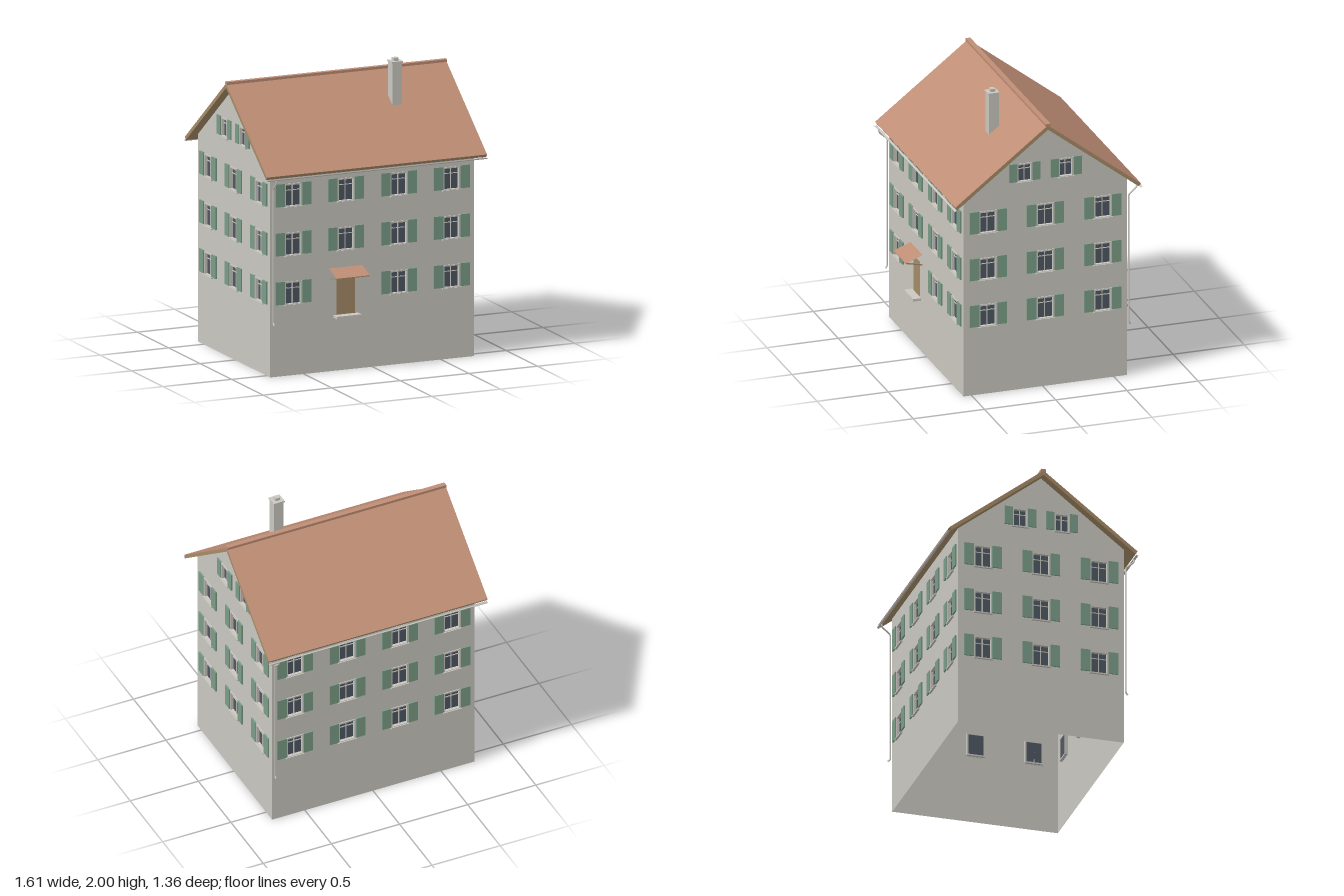
import * as THREE from 'three';

const mat = (name, color, extra = {}) => {
  const m = new THREE.MeshStandardMaterial({ color, ...extra });
  m.name = name;
  return m;
};

export function createModel() {
  const both = { side: THREE.DoubleSide };
  const plaster = mat('plaster', 0xcac7c0, both);
  const tile = mat('roofTile', 0xbf8d75, both);
  const wood = mat('wood', 0xa48b67);
  const green = mat('shutterGreen', 0x7a9d87);
  const glass = mat('glass', 0x4e5761, both);

  const CX = -0.002, CZ = -0.017;         // centre of the house body
  const HW = 0.743, HD = 0.574;           // half width and half depth of the walls
  const EAVE = 1.411, APEX = 1.853;       // wall height and gable peak

  const house = new THREE.Group();
  house.name = 'house';
  house.position.set(CX, 0, CZ);

  const add = (parent, name, geometry, material, x = 0, y = 0, z = 0) => {
    const mesh = new THREE.Mesh(geometry, material);
    mesh.name = name;
    mesh.position.set(x, y, z);
    parent.add(mesh);
    return mesh;
  };
  const box = (parent, name, material, w, h, d, x, y, z) =>
    add(parent, name, new THREE.BoxGeometry(w, h, d), material, x, y, z);
  const polygon = (pts) => new THREE.Shape(pts.map(([x, y]) => new THREE.Vector2(x, y)));
  const rect = (x, y, w, h) => [
    [x - w / 2, y - h / 2], [x + w / 2, y - h / 2], [x + w / 2, y + h / 2], [x - w / 2, y + h / 2],
  ];

  // Window with surround, recessed glass, glazing bars, sill and two shutters
  function addWindow(parent, { x, y, w, h, shutter }) {
    const g = new THREE.Group();
    g.name = 'window';
    g.position.set(x, y, 0);
    parent.add(g);
    const ring = polygon(rect(0, 0, w + 0.02, h + 0.02));
    ring.holes.push(polygon(rect(0, 0, w, h)));
    add(g, 'surround', new THREE.ExtrudeGeometry(ring, { depth: 0.026, bevelEnabled: false }), plaster, 0, 0, -0.02);
    add(g, 'pane', new THREE.PlaneGeometry(w, h), glass, 0, 0, -0.016);
    box(g, 'mullion', plaster, 0.006, h, 0.006, 0, 0, -0.013);
    box(g, 'transom', plaster, w, 0.005, 0.005, 0, h * 0.24, -0.013);
    box(g, 'sill', plaster, w + 0.028, 0.009, 0.016, 0, -h / 2 - 0.0085, 0.006);
    for (const s of [-1, 1]) {
      box(g, 'shutter', green, shutter, h + 0.013, 0.01, s * (w / 2 + 0.01 + shutter / 2), 0.007, 0.006);
    }
  }

  // Wall built facing +z, cut out at each opening, then turned into place
  function addWall(name, outline, windows, door, distance, angle) {
    const g = new THREE.Group();
    g.name = name;
    g.rotation.y = angle;
    house.add(g);
    const face = new THREE.Group();
    face.name = name + 'Face';
    face.position.z = distance;
    g.add(face);
    const shape = polygon(outline);
    for (const o of door ? [...windows, door] : windows) {
      shape.holes.push(polygon(rect(o.x, o.y, o.w, o.h)));
    }
    add(face, 'wallSurface', new THREE.ShapeGeometry(shape), plaster);
    windows.forEach((o) => addWindow(face, o));
    return face;
  }

  const rows = [0.559, 0.892, 1.225];
  const grid = (columns) => rows.flatMap((y) =>
    columns.map((x) => ({ x, y, w: 0.106, h: 0.142, shutter: 0.067 })));
  const longWindows = grid([-0.577, -0.193, 0.193, 0.577]);
  const gableWindows = grid([-0.403, 0, 0.403]);
  for (const x of [-0.145, 0.145]) gableWindows.push({ x, y: 1.544, w: 0.086, h: 0.116, shutter: 0.056 });

  const longOutline = [[-HW, 0], [HW, 0], [HW, EAVE], [-HW, EAVE]];
  const gableOutline = [[-HD, 0], [HD, 0], [HD, EAVE], [0, APEX], [-HD, EAVE]];
  const door = { x: -0.192, y: 0.505, w: 0.134, h: 0.25 };

  // The door takes the place of one ground-floor window
  const front = addWall('frontWall', longOutline, longWindows.filter((o, i) => i !== 1), door, HD, 0);
  addWall('backWall', longOutline, longWindows, null, HD, Math.PI);
  addWall('leftGable', gableOutline, gableWindows, null, HW, Math.PI / 2);
  addWall('rightGable', gableOutline, gableWindows, null, HW, -Math.PI / 2);

  // Entrance: door, step and small sloping canopy on two struts
  box(front, 'door', wood, door.w, door.h, 0.012, door.x, door.y, -0.006);
  box(front, 'doorStep', plaster, 0.18, 0.018, 0.056, door.x, 0.37, 0.028);
  const canopyRun = 0.119, canopyDrop = 0.045;
  const canopy = add(front, 'canopy',
    new THREE.PlaneGeometry(0.243, Math.hypot(canopyRun, canopyDrop)), tile,
    door.x, 0.7 - canopyDrop / 2, canopyRun / 2);
  canopy.rotation.x = -Math.atan2(canopyRun, canopyDrop);
  for (const s of [-1, 1]) {
    const strut = box(front, 'canopyStrut', wood, 0.009, 0.008, 0.122, door.x + s * 0.112, 0.64, 0.059);
    strut.rotation.x = -0.22;
  }
  box(front, 'canopyRail', wood, 0.243, 0.006, 0.006, door.x, 0.652, 0.115);

  // Two identical roof halves, each with its gutter and downpipe
  const LEN = 1.604;
  const slab = (pts) => {
    const geo = new THREE.ExtrudeGeometry(polygon(pts), { depth: LEN, bevelEnabled: false });
    geo.translate(0, 0, -LEN / 2);
    geo.rotateY(-Math.PI / 2);
    return geo;
  };
  for (const [name, angle] of [['frontRoof', 0], ['backRoof', Math.PI]]) {
    const g = new THREE.Group();
    g.name = name;
    g.rotation.y = angle;
    house.add(g);
    add(g, 'roofBoards', slab([[0, 1.853], [0.637, 1.363], [0.65, 1.38], [0, 1.881]]), wood);
    add(g, 'roofTiles', slab([[0, 1.881], [0.65, 1.38], [0.652, 1.383], [0, 1.885]]), tile);

    const trough = new THREE.CylinderGeometry(0.009, 0.009, LEN, 8, 1, true, Math.PI / 2, Math.PI);
    trough.rotateY(Math.PI / 2);
    trough.rotateZ(Math.PI / 2);
    // keep the open side of the trough upwards
    const p = trough.attributes.position;
    let sum = 0;
    for (let i = 0; i < p.count; i++) sum += p.getY(i);
    if (sum > 0) trough.rotateX(Math.PI);
    add(g, 'gutter', trough, plaster, 0, 1.362, 0.653);

    const path = new THREE.CurvePath();
    const pts = [[1.355, 0.652], [1.332, 0.646], [1.285, 0.592], [0.375, 0.592], [0.358, 0.605]]
      .map(([y, z]) => new THREE.Vector3(-0.729, y, z));
    for (let i = 1; i < pts.length; i++) path.add(new THREE.LineCurve3(pts[i - 1], pts[i]));
    add(g, 'downpipe', new THREE.TubeGeometry(path, 80, 0.006, 8), plaster);
  }
  box(house, 'ridgeCap', tile, LEN + 0.002, 0.018, 0.034, 0, 1.886, 0);

  // Chimney with cap and flue
  const chimney = new THREE.Group();
  chimney.name = 'chimney';
  chimney.position.set(0.327, 0, 0.227);
  house.add(chimney);
  box(chimney, 'chimneyStack', plaster, 0.07, 0.32, 0.07, 0, 1.81, 0);
  box(chimney, 'chimneyCap', plaster, 0.08, 0.01, 0.08, 0, 1.974, 0);
  box(chimney, 'chimneyFlue', plaster, 0.034, 0.022, 0.034, 0, 1.989, 0);

  const model = new THREE.Group();
  model.name = 'model';
  model.add(house);
  return model;
}
